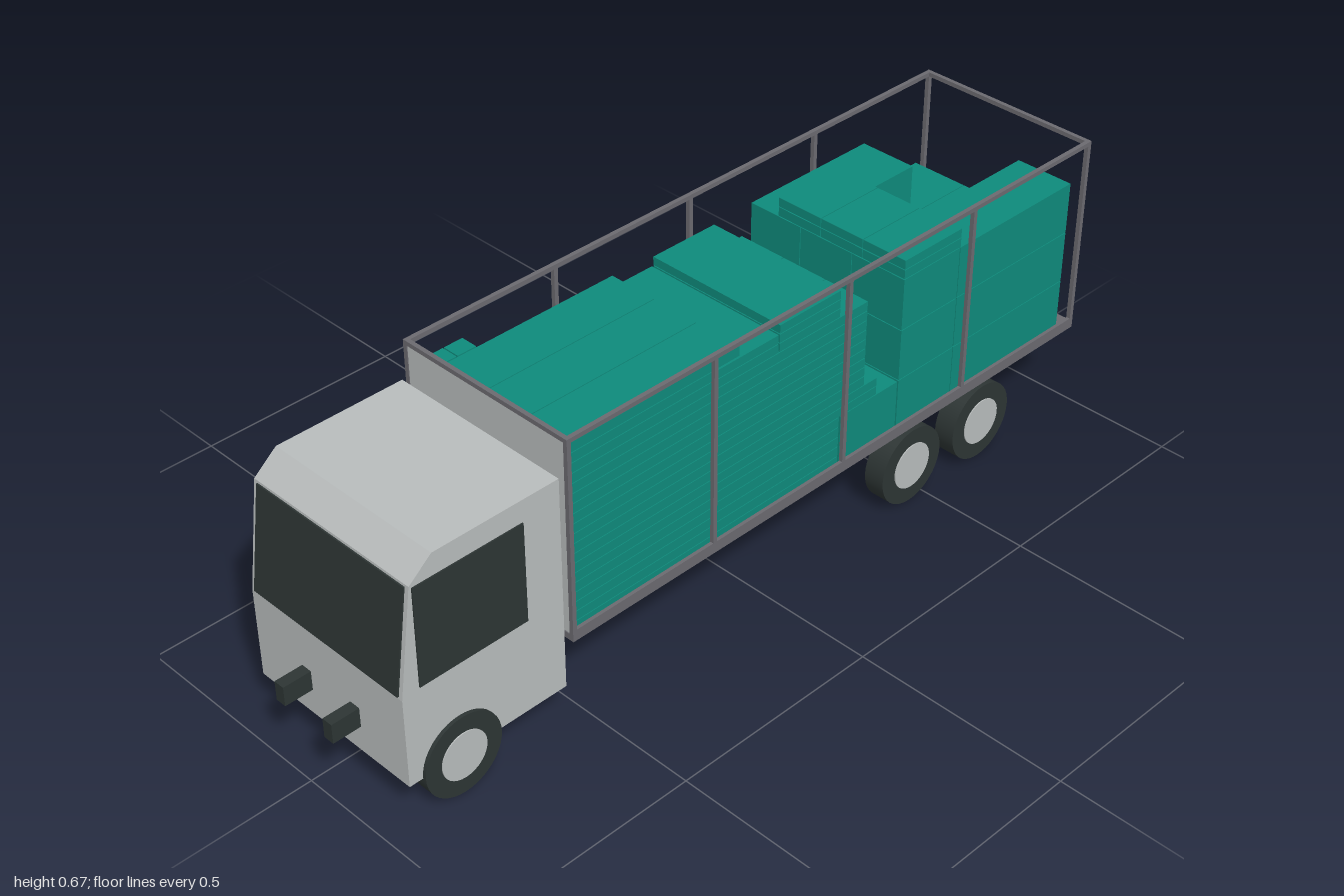
import * as THREE from 'three';

const mat = (name, color, extra = {}) => {
  const m = new THREE.MeshStandardMaterial({ color, ...extra });
  m.name = name;
  return m;
};

export function createModel() {
  const cabGrey = mat('light grey', 0xb8bcbc);
  const dark = mat('charcoal', 0x2d3534);
  const steel = mat('steel grey', 0x6b6a70);
  const teal = mat('teal', 0x0e8a7b);

  const root = new THREE.Group();
  root.name = 'cargoTruck';
  const group = (name) => {
    const g = new THREE.Group();
    g.name = name;
    root.add(g);
    return g;
  };
  const add = (parent, name, geo, material) => {
    const m = new THREE.Mesh(geo, material);
    m.name = name;
    parent.add(m);
    return m;
  };
  // Box given by its extents on each axis
  const box = (parent, name, material, x0, x1, y0, y1, z0, z1) => {
    const m = add(parent, name, new THREE.BoxGeometry(x1 - x0, y1 - y0, z1 - z0), material);
    m.position.set((x0 + x1) / 2, (y0 + y1) / 2, (z0 + z1) / 2);
    return m;
  };
  const extrude = (points, depth) => {
    const shape = new THREE.Shape(points.map(([x, y]) => new THREE.Vector2(x, y)));
    const geo = new THREE.ExtrudeGeometry(shape, { depth, bevelEnabled: false });
    return geo.translate(0, 0, -depth / 2);
  };

  // Cab with sloped front, windscreen and side windows
  const cab = group('cab');
  add(cab, 'cabShell', extrude([[-0.935, 0.09], [-0.545, 0.09], [-0.545, 0.59],
    [-0.845, 0.59], [-0.9, 0.545], [-0.935, 0.3]], 0.44), cabGrey);
  add(cab, 'windscreen', extrude([[-0.938, 0.305], [-0.93, 0.305],
    [-0.896, 0.54], [-0.904, 0.54]], 0.42), dark);
  for (const s of [1, -1]) {
    const w = add(cab, 'sideWindow', extrude([[-0.895, 0.31], [-0.635, 0.31],
      [-0.635, 0.54], [-0.895, 0.54]], 0.006), dark);
    w.position.z = s * 0.22;
  }

  // Chassis rails, bed and headboard
  const chassis = group('chassis');
  for (const z of [0.073, -0.07])
    box(chassis, 'chassisRail', dark, -1, 0.985, 0.152, 0.198, z - 0.013, z + 0.013);
  box(chassis, 'bedFloor', steel, -0.53, 0.995, 0.196, 0.211, -0.226, 0.228);
  for (const s of [1, -1])
    box(chassis, 'bedEdge', steel, -0.53, 0.995, 0.196, 0.222, s * 0.224 - 0.004, s * 0.224 + 0.004);
  box(chassis, 'headboard', cabGrey, -0.528, -0.523, 0.211, 0.668, -0.22, 0.22);

  // Open cage: posts, side rails and end rails
  const cage = group('cage');
  const xs = [-0.525, -0.147, 0.232, 0.612, 0.99];
  for (const s of [1, -1]) {
    const z = s * 0.223;
    for (const x of xs)
      box(cage, 'post', steel, x - 0.005, x + 0.005, 0.211, 0.67, z - 0.005, z + 0.005);
    box(cage, 'topSideRail', steel, -0.53, 0.995, 0.662, 0.672, z - 0.005, z + 0.005);
  }
  for (const x of [xs[0], xs[4]])
    box(cage, 'topEndRail', steel, x - 0.005, x + 0.005, 0.662, 0.672, -0.228, 0.228);

  // Wheels with hub plates on their outer faces
  for (const x of [-0.81, 0.455, 0.685]) for (const s of [1, -1]) {
    const wheel = group('wheel');
    wheel.position.set(x, 0.093, s * 0.203);
    wheel.rotation.x = s * Math.PI / 2;
    add(wheel, 'tyre', new THREE.CylinderGeometry(0.093, 0.093, 0.05, 40), dark);
    add(wheel, 'hub', new THREE.CylinderGeometry(0.055, 0.055, 0.004, 32), cabGrey).position.y = 0.0255;
  }

  // Cargo: a stack is divided into layers and z columns with small gaps
  const cargo = group('cargo');
  const GAP = 0.001;
  const stack = (name, x0, x1, y0, y1, layers, zs) => {
    const h = (y1 - y0) / layers;
    for (let i = 0; i < layers; i++) for (let k = 0; k < zs.length - 1; k++)
      box(cargo, name, teal, x0 + GAP, x1 - GAP, y0 + i * h + GAP, y0 + (i + 1) * h - GAP,
        zs[k] + GAP, zs[k + 1] - GAP);
  };
  const narrow = [-0.132, -0.012, 0.104, 0.22];
  const wide = [-0.211, -0.068, 0.076, 0.22];
  const low = 0.211, mid = 0.335, high = 0.46, top = 0.584;

  // Flat cartons behind the headboard
  stack('flatCarton', -0.52, -0.148, low, 0.63, 18, narrow);
  stack('flatCarton', -0.52, -0.075, 0.63, 0.654, 1, narrow);
  // Flat cartons in the middle, overhanging the low crates
  stack('flatCarton', -0.146, 0.222, low, mid, 5, narrow);
  stack('flatCarton', -0.146, 0.335, mid, 0.378, 2, [-0.145, 0.035, 0.22]);
  stack('flatCarton', -0.146, 0.295, 0.378, top, 9, narrow);
  stack('topCarton', -0.146, 0.034, top, 0.627, 2, [-0.132, 0.22]);
  stack('topCarton', 0.036, 0.212, top, 0.648, 3, [-0.132, 0.22]);
  // Small cartons in the corner
  stack('smallCarton', -0.52, -0.472, low, 0.648, 12, [-0.182, -0.14]);
  stack('smallCarton', -0.471, -0.423, low, 0.648, 12, [-0.182, -0.14]);
  stack('smallCarton', -0.422, -0.374, low, 0.43, 6, [-0.182, -0.14]);
  // Large crates
  stack('crate', 0.225, 0.402, low, mid, 1, wide);
  stack('crate', 0.404, 0.58, low, top, 3, wide.slice(1));
  stack('crate', 0.58, 0.948, low, high, 2, wide.slice(1));
  stack('crate', 0.58, 0.948, high, top, 1, wide.slice(2));
  stack('crate', 0.404, 0.764, low, top, 3, wide.slice(0, 2));
  stack('crate', 0.765, 0.948, low, high, 2, wide.slice(0, 2));
  stack('topCarton', 0.404, 0.582, top, 0.63, 2, narrow);

  return root;
}
